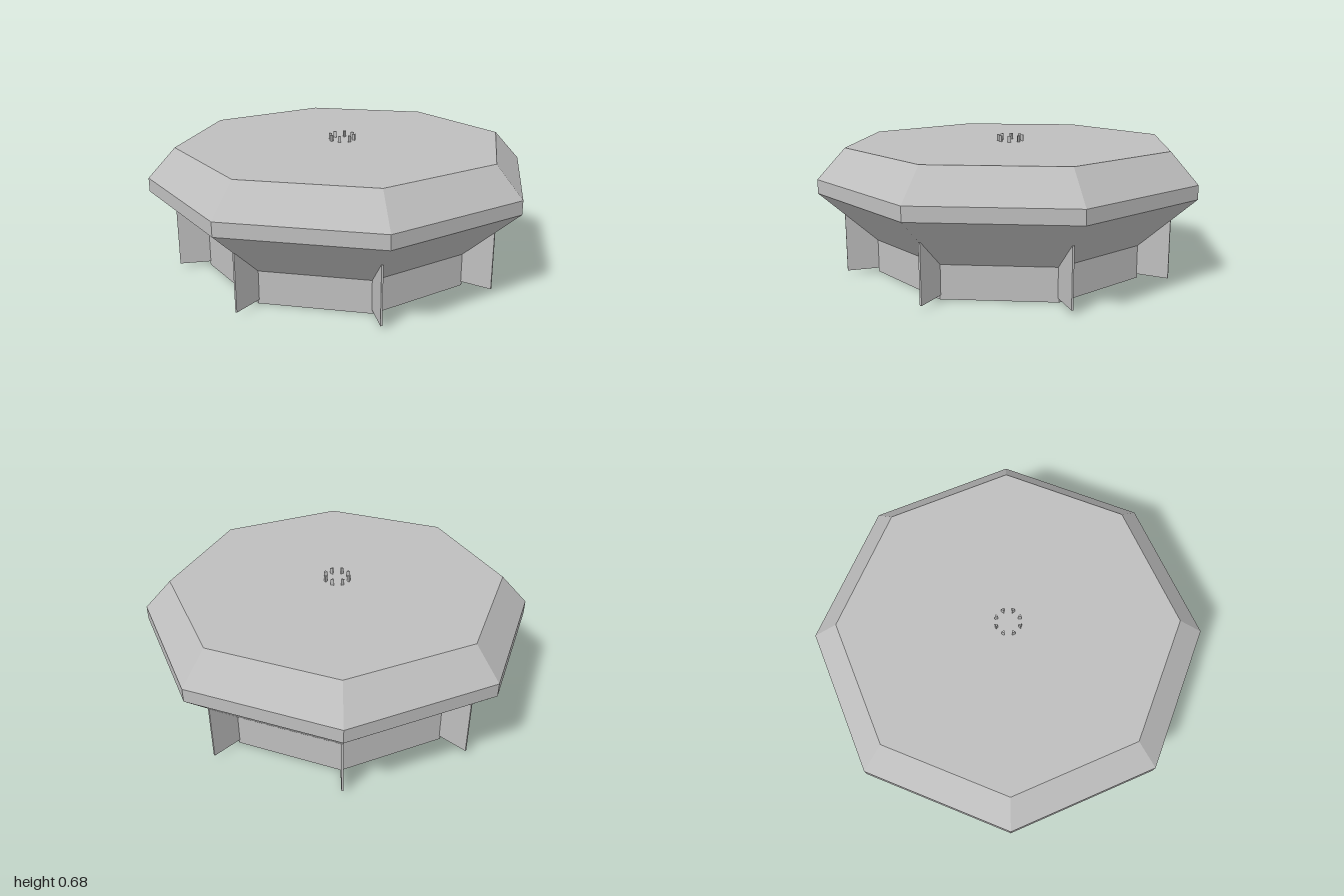
import * as THREE from 'three';

const SIDES = 8;

// Splits shared corners so every face shades flat
function faceted(geometry) {
  const g = geometry.toNonIndexed();
  g.computeVertexNormals();
  return g;
}

export function createModel() {
  const model = new THREE.Group();
  model.name = 'octagonalPlatform';
  const grey = new THREE.MeshStandardMaterial({ color: 0xbebebe });
  grey.name = 'plain grey';

  // Octagonal body: foot, flared underside, rim, bevel and flat top
  const profile = [
    [0, 0], [0.718, 0], [0.718, 0.168], [1, 0.43], [1, 0.5], [0.86, 0.652], [0, 0.652],
  ].map(([r, y]) => new THREE.Vector2(r, y));
  const body = new THREE.Mesh(faceted(new THREE.LatheGeometry(profile, SIDES)), grey);
  body.name = 'body';
  model.add(body);

  // Thin upright fins on the corners of the foot, tucked under the flare
  const inner = 0.69, outer = 0.875, low = 0.02, high = 0.312;
  const finGeometry = new THREE.BoxGeometry(0.009, high - low, outer - inner);
  finGeometry.translate(0, (low + high) / 2, (inner + outer) / 2);

  // Small three-sided pegs in a ring at the centre of the top
  const pegGeometry = faceted(new THREE.CylinderGeometry(0.01, 0.01, 0.034, 3));
  pegGeometry.rotateY(Math.PI);
  pegGeometry.translate(0, 0.667, 0.064);

  for (let i = 0; i < SIDES; i++) {
    const angle = (i / SIDES) * Math.PI * 2;

    const fin = new THREE.Mesh(finGeometry, grey);
    fin.name = 'fin';
    fin.rotation.y = angle;
    model.add(fin);

    const peg = new THREE.Mesh(pegGeometry, grey);
    peg.name = 'peg';
    peg.rotation.y = angle + Math.PI / SIDES;
    model.add(peg);
  }
  return model;
}
